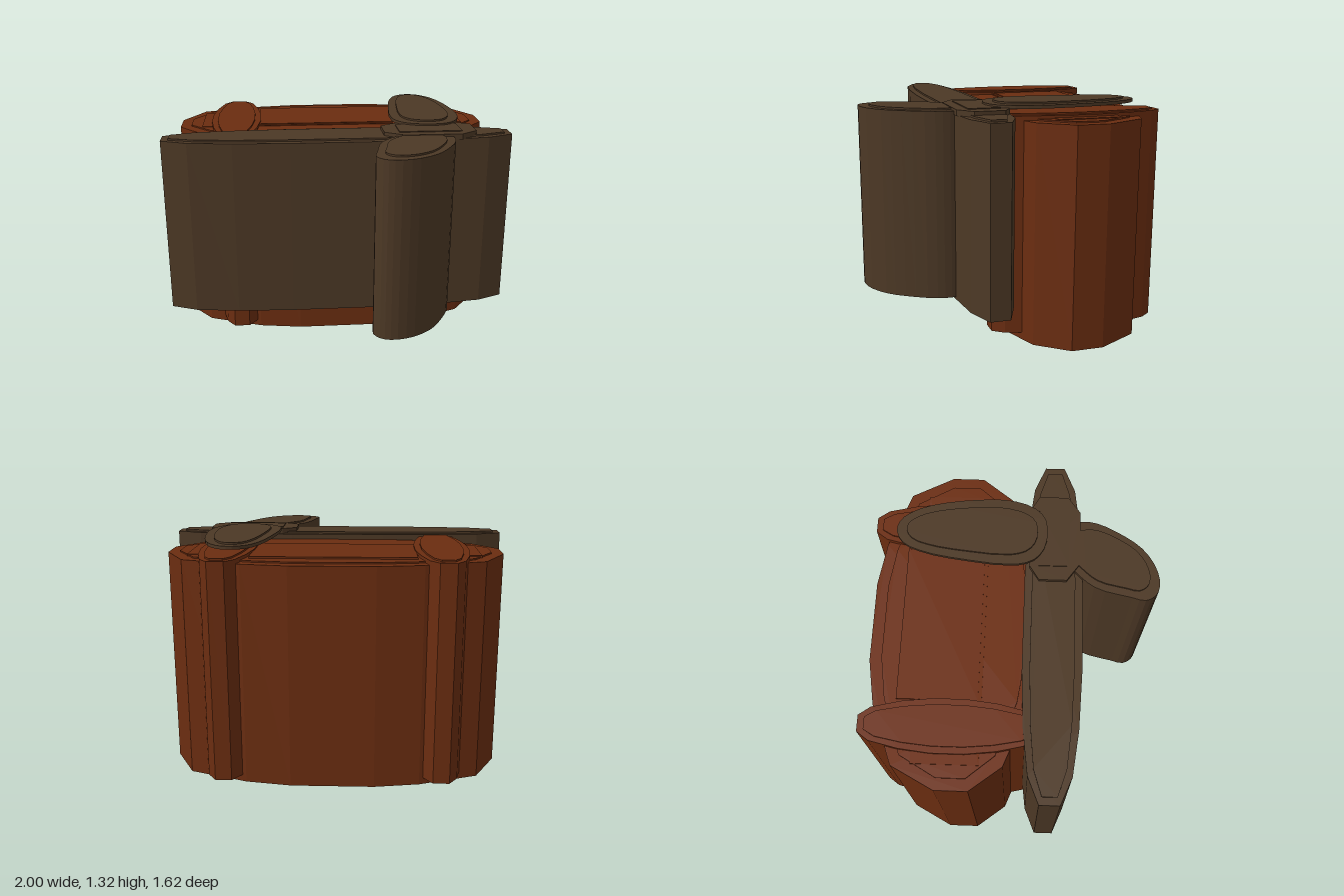
import * as THREE from 'three';

const rust = new THREE.MeshStandardMaterial({ color: 0x6b2d10 });
rust.name = 'rust brown';
const bark = new THREE.MeshStandardMaterial({ color: 0x4c3825 });
bark.name = 'dark bark brown';

// upright prism: outline of [x, z] points raised from y0 to y1
function prism(name, outline, y0, y1, material) {
  const shape = new THREE.Shape(outline.map(([x, z]) => new THREE.Vector2(x, -z)));
  const geometry = new THREE.ExtrudeGeometry(shape, { depth: y1 - y0, bevelEnabled: false });
  geometry.rotateX(-Math.PI / 2).translate(0, y0, 0);
  const mesh = new THREE.Mesh(geometry, material);
  mesh.name = name;
  return mesh;
}

// shrink an outline by a margin on every side of its bounds
function inset(outline, margin) {
  const box = new THREE.Box2().setFromPoints(outline.map(([x, z]) => new THREE.Vector2(x, z)));
  const c = box.getCenter(new THREE.Vector2());
  const s = box.getSize(new THREE.Vector2());
  const kx = 1 - (2 * margin) / s.x, kz = 1 - (2 * margin) / s.y;
  return outline.map(([x, z]) => [c.x + (x - c.x) * kx, c.y + (z - c.y) * kz]);
}

// round a coarse outline into a smoother closed one
function rounded(outline, n) {
  const curve = new THREE.CatmullRomCurve3(outline.map(([x, z]) => new THREE.Vector3(x, 0, z)), true);
  return curve.getPoints(n).slice(0, n).map((p) => [p.x, p.z]);
}

// prism with a thin raised panel on its top
function raised(name, outline, y0, y1, step, margin, material) {
  const group = new THREE.Group();
  group.name = name;
  group.add(prism(name + 'Base', outline, y0, y1, material));
  group.add(prism(name + 'Panel', inset(outline, margin), y1 - 0.005, y1 + step, material));
  return group;
}

const rectangle = (x0, x1, z0, z1) => [[x0, z0], [x1, z0], [x1, z1], [x0, z1]];

export function createModel() {
  const model = new THREE.Group();
  model.name = 'model';

  // faceted oval body, mirrored left to right
  const half = [[0.23, -0.785], [0.48, -0.745], [0.81, -0.625], [0.935, -0.39],
    [0.935, -0.21], [0.8, -0.035], [0.48, 0.09], [0.23, 0.13]];
  const oval = [...half, ...half.map(([x, z]) => [-x, z]).reverse()];
  model.add(raised('body', oval, 0, 1.23, 0.008, 0.065, rust));

  // stepped panels on the body top
  model.add(prism('sidePanel', rectangle(-0.8, 0.8, -0.52, -0.16), 1.23, 1.243, rust));
  model.add(prism('centrePanel', rectangle(-0.45, 0.45, -0.62, -0.18), 1.23, 1.248, rust));

  // two bands wrapping front to back
  const quarter = [[0.045, -0.485], [0.092, -0.42], [0.13, -0.26], [0.15, -0.09]];
  const right = [...quarter, ...quarter.map(([x, z]) => [x, -z]).reverse()];
  const band = [...right, ...right.map(([x, z]) => [-x, z]).reverse()];
  for (const [name, side] of [['leftBand', 1], ['rightBand', -1]]) {
    const outline = band.map(([x, z]) => [x + side * 0.595, z - 0.328]);
    model.add(raised(name, outline, 0.04, 1.255, 0.009, 0.036, rust));
  }

  // long bar across the front
  const barEnd = [[0.28, 0.05], [0.6, 0.065], [0.85, 0.095], [1, 0.157],
    [1, 0.268], [0.85, 0.33], [0.6, 0.362], [0.28, 0.377]];
  const bar = [...barEnd, ...barEnd.map(([x, z]) => [-x, z]).reverse()];
  model.add(raised('crossBar', bar, 0.247, 1.268, 0.01, 0.042, bark));

  // deep leaf reaching forward
  const frontLeaf = rounded([[0.152, 0.73], [0.17, 0.64], [0.215, 0.46], [0.28, 0.37], [0.4, 0.27],
    [0.52, 0.25], [0.615, 0.3], [0.638, 0.38], [0.625, 0.47], [0.56, 0.6], [0.48, 0.71],
    [0.37, 0.785], [0.26, 0.81], [0.19, 0.79]], 32);
  model.add(raised('frontLeaf', frontLeaf, 0.262, 1.285, 0.01, 0.055, bark));

  // knot where bar and leaves meet
  const knot = [[0.255, 0.13], [0.34, 0.075], [0.7, 0.075], [0.785, 0.125],
    [0.785, 0.29], [0.69, 0.36], [0.36, 0.36], [0.255, 0.285]];
  model.add(prism('knot', knot, 1.265, 1.298, bark));
  model.add(prism('knotPanel', rectangle(0.34, 0.7, 0.125, 0.3), 1.297, 1.303, bark));

  // thin leaf lying back over the body
  const backLeaf = rounded([[0.338, 0], [0.36, -0.3], [0.4, -0.52], [0.455, -0.645], [0.53, -0.687],
    [0.6, -0.67], [0.67, -0.58], [0.72, -0.42], [0.748, -0.2], [0.747, -0.04],
    [0.7, 0.1], [0.62, 0.165], [0.47, 0.165], [0.38, 0.11]], 32);
  model.add(raised('backLeaf', backLeaf, 1.295, 1.313, 0.01, 0.057, bark));

  return model;
}
